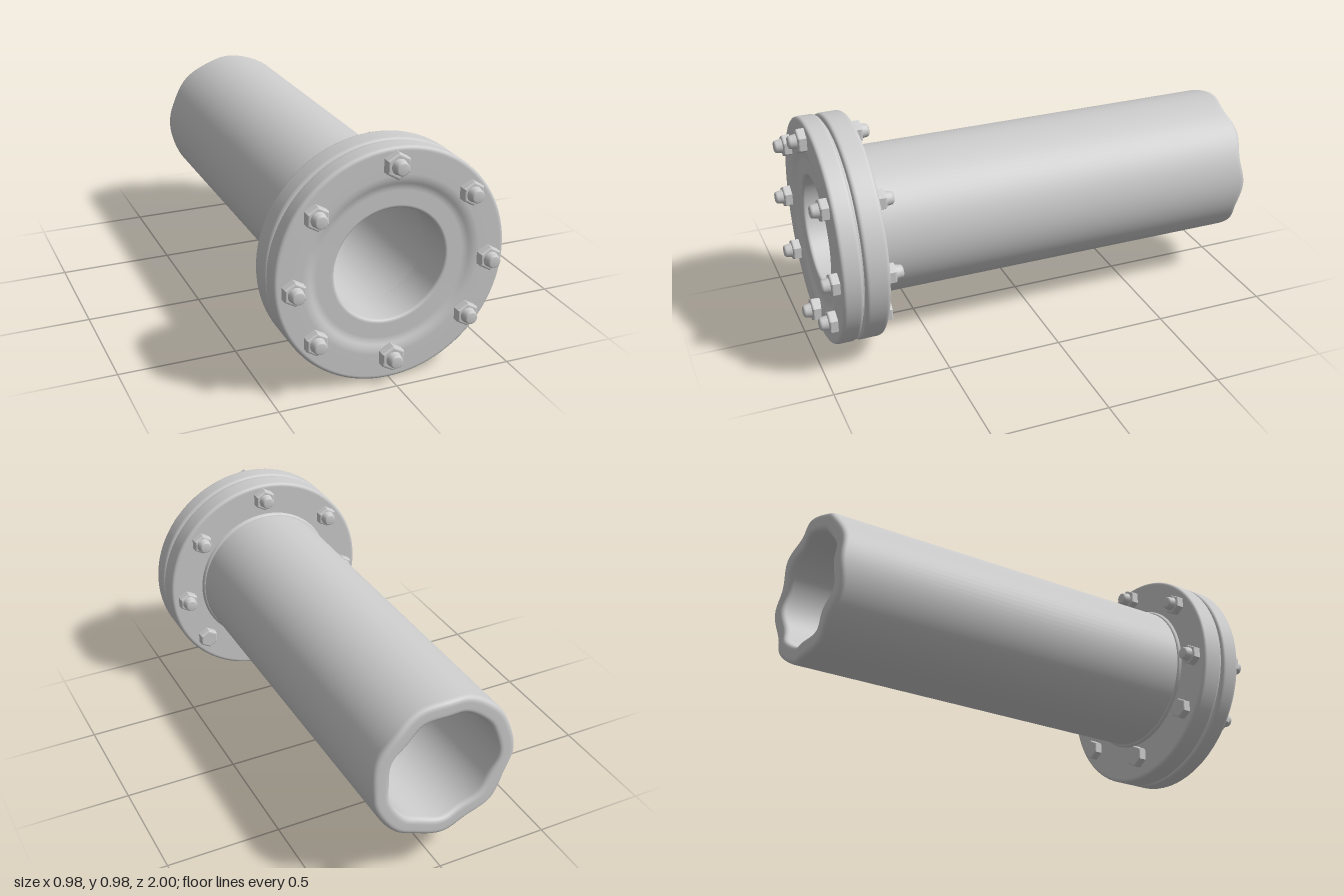
import * as THREE from 'three';

const grey = new THREE.MeshStandardMaterial({ color: 0xcccccc });

// Solid of revolution about z. Corners are [radius, z, rounding], listed up the outside
// and back down the bore.
function ring(name, corners, y, segments = 96) {
  const pts = corners.map(([r, z]) => new THREE.Vector2(r, z));
  const n = pts.length;
  const path = new THREE.Path();
  const start = pts[n - 1].clone().lerp(pts[0], 0.5);
  path.moveTo(start.x, start.y);
  pts.forEach((p, i) => {
    const round = corners[i][2];
    const toward = (q) => p.clone().add(q.clone().sub(p).setLength(round));
    const a = toward(pts[(i + n - 1) % n]);
    const b = toward(pts[(i + 1) % n]);
    path.lineTo(a.x, a.y);
    path.quadraticCurveTo(p.x, p.y, b.x, b.y);
  });
  path.lineTo(start.x, start.y);
  const geo = new THREE.LatheGeometry(path.getPoints(6), segments);
  geo.rotateX(Math.PI / 2);
  const mesh = new THREE.Mesh(geo, grey);
  mesh.name = name;
  mesh.position.y = y;
  return mesh;
}

// Hexagonal nut with softened edges, growing along +z from z = 0
function hexNut(radius, height) {
  const bevel = 0.008;
  const r = radius - bevel;
  const corner = (i) => [r * Math.sin(i * Math.PI / 3), r * Math.cos(i * Math.PI / 3)];
  const shape = new THREE.Shape();
  shape.moveTo(...corner(0));
  for (let i = 5; i > 0; i--) shape.lineTo(...corner(i));
  shape.closePath();
  const geo = new THREE.ExtrudeGeometry(shape, {
    depth: height - bevel, bevelThickness: bevel, bevelSize: bevel, bevelSegments: 3,
  });
  const mesh = new THREE.Mesh(geo, grey);
  mesh.name = 'nut';
  return mesh;
}

// Rounded bolt end standing on the nut
function boltTip(from, to) {
  const profile = [[0.034, from - 0.005], [0.031, from + 0.005], [0.028, to - 0.01],
    [0.026, to - 0.004], [0.021, to], [0, to]].map(([r, z]) => new THREE.Vector2(r, z));
  const geo = new THREE.LatheGeometry(profile, 20);
  geo.rotateX(Math.PI / 2);
  const mesh = new THREE.Mesh(geo, grey);
  mesh.name = 'boltTip';
  return mesh;
}

function fastener(name, x, y, z, radius, tip) {
  const group = new THREE.Group();
  group.name = name;
  group.add(hexNut(radius, 0.036));
  if (tip) group.add(boltTip(0.036, 0.07));
  group.position.set(x, y, z);
  return group;
}

export function createModel() {
  const model = new THREE.Group();
  model.name = 'flangedPipe';
  const flangeY = 0.492, pipeY = 0.5, bore = 0.236;

  // Front flange, with a shallow dish around the bore
  model.add(ring('frontFlange', [
    [bore, 0.838, 0.002], [0.491, 0.842, 0.018], [0.491, 0.93, 0.018],
    [0.36, 0.93, 0.02], [0.325, 0.915, 0.015], [bore, 0.915, 0.015],
  ], flangeY));

  // Gasket filling the seam between the flanges
  model.add(ring('gasket', [
    [bore, 0.825, 0.002], [0.468, 0.825, 0.002], [0.468, 0.85, 0.002], [bore, 0.85, 0.002],
  ], flangeY));

  // Rear flange
  model.add(ring('rearFlange', [
    [bore, 0.73, 0.005], [0.491, 0.73, 0.018], [0.491, 0.834, 0.018], [bore, 0.838, 0.002],
  ], flangeY));

  // Pipe, with a slightly uneven rim at its open end
  const pipe = ring('pipe', [
    [0.245, -0.992, 0.025], [0.322, -0.992, 0.025], [0.322, 0.74, 0.003], [0.245, 0.74, 0.003],
  ], pipeY);
  const pos = pipe.geometry.attributes.position;
  for (let i = 0; i < pos.count; i++) {
    if (pos.getZ(i) > -0.96) continue;
    const angle = Math.atan2(pos.getY(i), pos.getX(i));
    pos.setZ(i, pos.getZ(i) - 0.008 * Math.cos(8 * angle));
  }
  pipe.geometry.computeBoundingBox();
  model.add(pipe);

  // Small weld collar where the pipe meets the rear flange
  model.add(ring('weldCollar', [
    [0.31, 0.715, 0.004], [0.327, 0.715, 0.008], [0.335, 0.735, 0.004], [0.31, 0.735, 0.004],
  ], pipeY));

  // Eight bolts; the three lowest have plain heads on the rear side
  const bolts = [[0, 0.917, 0.053], [0, 0.104, 0.053]];
  for (const side of [-1, 1]) {
    bolts.push([side * 0.325, 0.757, 0.049], [side * 0.415, 0.465, 0.049], [side * 0.325, 0.235, 0.049]);
  }
  for (const [x, y, radius] of bolts) {
    model.add(fastener('frontNut', x, y, 0.93, radius, true));
    const rear = fastener('rearNut', x, y, 0.73, radius - 0.003, y > 0.3);
    rear.rotation.y = Math.PI;
    model.add(rear);
  }
  return model;
}
